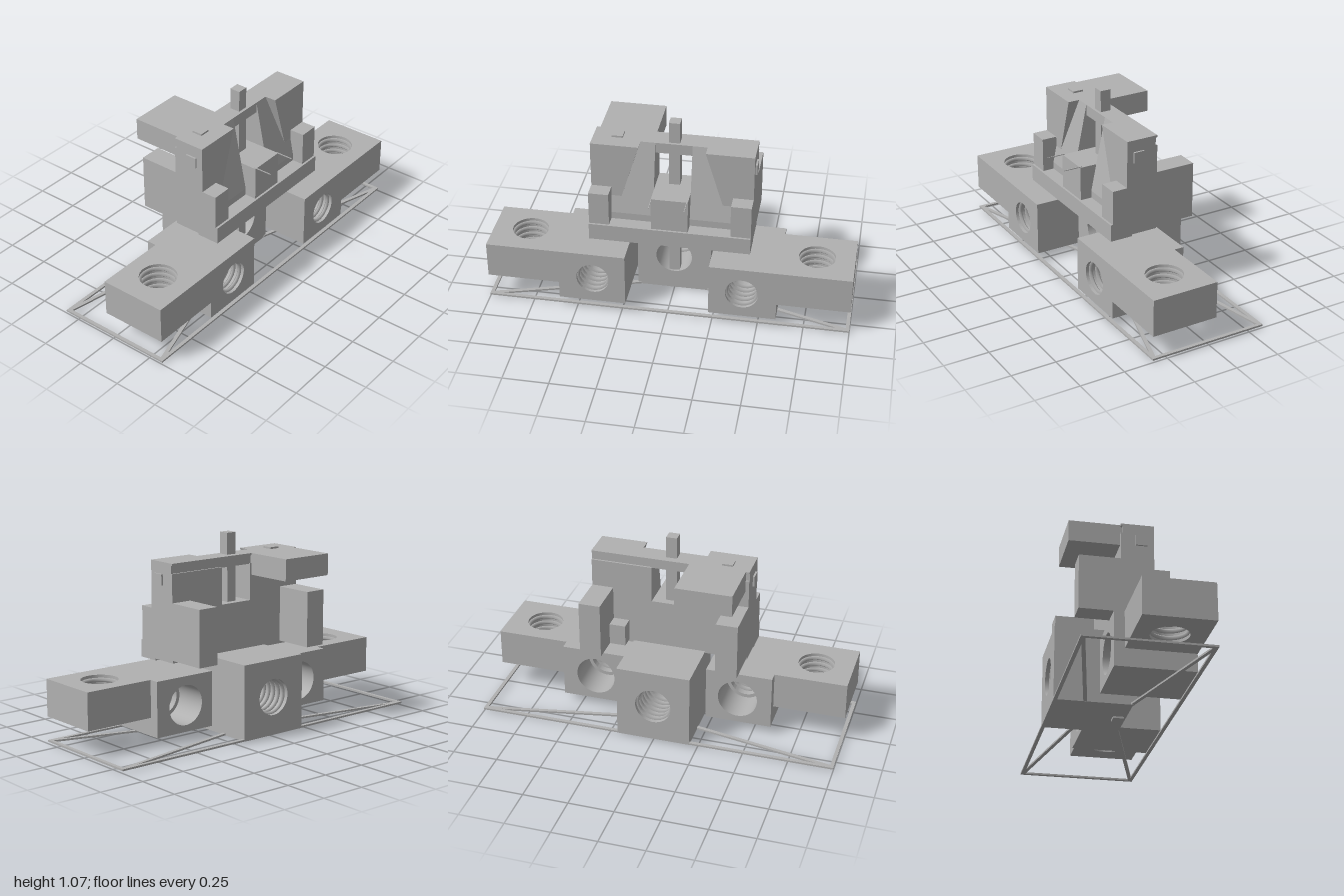
import * as THREE from 'three';
import { toCreasedNormals } from 'three/addons/utils/BufferGeometryUtils.js';

export function createModel() {
  const model = new THREE.Group();
  model.name = 'clampMount';
  const grey = new THREE.MeshStandardMaterial({ color: 0xb0b0b0 });
  grey.name = 'plain grey';

  function add(name, geometry, parent = model) {
    const mesh = new THREE.Mesh(geometry, grey);
    mesh.name = name;
    parent.add(mesh);
    return mesh;
  }

  // Box from its minimum and maximum on each axis
  function box(name, x0, x1, y0, y1, z0, z1) {
    const mesh = add(name, new THREE.BoxGeometry(x1 - x0, y1 - y0, z1 - z0));
    mesh.position.set((x0 + x1) / 2, (y0 + y1) / 2, (z0 + z1) / 2);
    return mesh;
  }

  // Straight-edged shape pushed along z
  function prism(points, depth) {
    const shape = new THREE.Shape(points.map(([x, y]) => new THREE.Vector2(x, y)));
    return new THREE.ExtrudeGeometry(shape, { depth, bevelEnabled: false });
  }

  // Rectangular slab with a round hole, pushed along z
  function drilled(x0, x1, y0, y1, cx, cy, r, depth) {
    const shape = new THREE.Shape();
    shape.moveTo(x0, y0).lineTo(x1, y0).lineTo(x1, y1).lineTo(x0, y1).closePath();
    const hole = new THREE.Path();
    hole.absarc(cx, cy, r, 0, Math.PI * 2, true);
    shape.holes.push(hole);
    const geo = new THREE.ExtrudeGeometry(shape, { depth, bevelEnabled: false, curveSegments: 32 });
    return toCreasedNormals(geo, 0.6);
  }

  // Thread ridges lining a hole along z
  function threads(parent, cx, cy, r, z0, z1) {
    const count = Math.round((z1 - z0) / 0.04);
    for (let i = 0; i < count; i++) {
      const ridge = add('threadRidge', new THREE.TorusGeometry(r, 0.012, 4, 32), parent);
      ridge.position.set(cx, cy, z0 + (i + 0.5) * (z1 - z0) / count);
    }
  }

  // Centre block with its threaded bore
  const centre = new THREE.Group();
  centre.name = 'centreBlock';
  model.add(centre);
  add('centreRear', drilled(-0.205, 0.205, 0.01, 0.425, 0, 0.22, 0.1, 0.245), centre).position.z = -0.335;
  add('centreFront', drilled(-0.205, 0.205, 0.01, 0.425, 0, 0.22, 0.1, 0.177), centre).position.z = -0.09;
  threads(centre, 0, 0.22, 0.1, -0.32, -0.09);

  // Vertical pin through everything
  box('pin', -0.03, 0.03, 0, 1.07, 0.015, 0.075);

  for (const s of [-1, 1]) {
    const span = (a, b) => (s > 0 ? [a, b] : [-b, -a]);
    const sideBox = (name, a, b, ...rest) => box(name, ...span(a, b), ...rest);

    // Side block: threaded front, wider smooth bore behind
    const side = new THREE.Group();
    side.name = s > 0 ? 'leftClamp' : 'rightClamp';
    model.add(side);
    const inner = span(0.23, 0.6);
    add('clampFront', drilled(...inner, 0.05, 0.355, s * 0.41, 0.197, 0.09, 0.235), side).position.z = 0.1;
    add('clampRear', drilled(...inner, 0.05, 0.355, s * 0.41, 0.197, 0.11, 0.195), side).position.z = -0.095;
    threads(side, s * 0.41, 0.197, 0.09, 0.13, 0.325);

    // Outer arm with a vertical threaded hole
    const arm = new THREE.Group();
    arm.name = 'arm';
    arm.rotation.x = -Math.PI / 2;
    arm.position.y = 0.15;
    side.add(arm);
    add('armBlock', drilled(...span(0.6, 1), -0.335, 0.04, s * 0.795, -0.145, 0.1, 0.205), arm);
    threads(arm, s * 0.795, -0.145, 0.1, 0.01, 0.195);

    // Body cheek with a flared inner edge
    const cheek = [[0.44, 0.43], [0.44, 0.89], [0.44, 0.95], [0.18, 0.95], [0.28, 0.62], [0.28, 0.43]];
    add('cheek', prism(cheek.map(([x, y]) => [s * x, y]), 0.17)).position.z = -0.015;

    // Sloping back of the recess, its profile drawn in z and y
    const slope = add('recessSlope', prism(
      [[0.015, 0.43], [-0.175, 0.43], [-0.175, 0.54], [-0.09, 0.95], [0.015, 0.95]], 0.23));
    slope.rotation.y = Math.PI / 2;
    slope.position.x = s > 0 ? 0.1 : -0.33;

    // Rear wall with the groove beneath its top edge
    sideBox('rearWall', 0.1, 0.44, 0.43, 0.895, -0.025, 0.01);
    sideBox('rearRim', 0.1, 0.44, 0.938, 0.95, -0.025, 0.01);

    sideBox('cornerPost', 0.33, 0.44, 0.405, 0.69, 0.125, 0.24);
    sideBox('rearTower', 0.32, 0.44, 0.43, 0.74, -0.25, 0);
    sideBox('sideButton', 0.43, 0.45, 0.825, 0.885, 0.055, 0.118);
    sideBox('frontWire', 0.093, 0.097, 0.691, 0.695, 0.23, 0.335);
  }

  // Middle of the body, around the window
  box('lintel', -0.1, 0.1, 0.89, 0.95, -0.015, 0.09);
  box('rearRimMiddle', -0.1, 0.1, 0.938, 0.95, -0.025, 0.01);
  box('windowSill', -0.1, 0.1, 0.43, 0.69, -0.025, 0.24);
  box('bodyFloor', -0.44, 0.44, 0.415, 0.5, -0.025, 0.125);
  box('frontBand', -0.44, 0.44, 0.405, 0.5, 0.125, 0.252);
  box('rearShelf', -0.42, -0.11, 0.83, 0.95, -0.303, -0.01);
  box('rearStub', 0.23, 0.32, 0.43, 0.55, -0.1, -0.02);
  box('topButton', -0.34, -0.28, 0.94, 0.96, 0.01, 0.07);

  // Flat base frame with braces to the centre block
  function strip(name, x0, z0, x1, z1) {
    const bar = add(name, new THREE.BoxGeometry(Math.hypot(x1 - x0, z1 - z0), 0.01, 0.02));
    bar.position.set((x0 + x1) / 2, 0.016, (z0 + z1) / 2);
    bar.rotation.y = -Math.atan2(z1 - z0, x1 - x0);
  }
  for (const s of [-1, 1]) {
    strip('frameLong', -1, s * 0.325, 1, s * 0.325);
    strip('frameShort', s * 0.99, -0.335, s * 0.99, 0.335);
    strip('rearBrace', s * 0.98, -0.32, s * 0.19, -0.165);
    strip('frontBrace', s * 0.98, 0.32, s * 0.19, 0.08);
  }
  return model;
}
